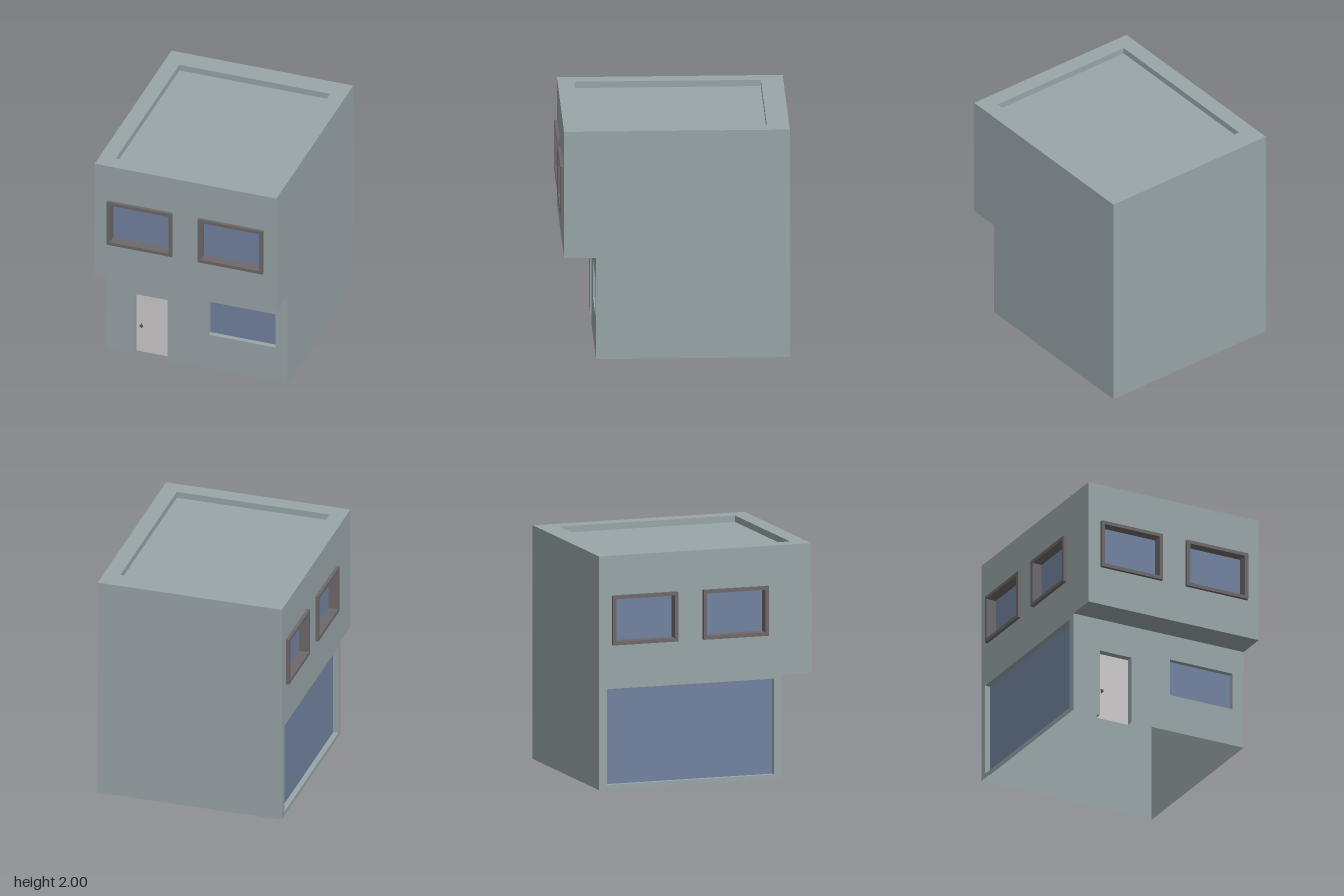
import * as THREE from 'three';

const X0 = -0.805, X1 = 0.825, BACK = -0.965, LOWER = 0.67, UPPER = 0.94, STEP = 0.89, TOP = 2;

const mat = (name, color) => new THREE.MeshStandardMaterial({ name, color, side: THREE.DoubleSide });

// Closed rectangle as a path or shape
function rect(Type, x0, y0, x1, y1) {
  const p = new Type();
  p.moveTo(x0, y0);
  p.lineTo(x1, y0);
  p.lineTo(x1, y1);
  p.lineTo(x0, y1);
  p.closePath();
  return p;
}

export function createModel() {
  const model = new THREE.Group();
  model.name = 'house';
  const wall = mat('wall grey', 0x98a5a8);
  const glass = mat('window blue', 0x71829f);
  const frame = mat('frame grey', 0x6e6869);
  const white = mat('door white', 0xcccacb);
  const metal = mat('handle grey', 0x5c5a5c);

  function add(parent, name, geometry, material, x = 0, y = 0, z = 0) {
    const m = new THREE.Mesh(geometry, material);
    m.name = name;
    m.position.set(x, y, z);
    parent.add(m);
    return m;
  }

  // A facade's local x runs along the wall and local z points outwards
  function facade(name, x, z, turn) {
    const g = new THREE.Group();
    g.name = name;
    g.position.set(x, 0, z);
    g.rotation.y = turn;
    model.add(g);
    return g;
  }

  const sheet = (outline, holes) => {
    outline.holes.push(...holes.map(h => rect(THREE.Path, ...h)));
    return new THREE.ShapeGeometry(outline);
  };

  // Flat panel filling a rectangle
  function panel(parent, name, [x0, y0, x1, y1], z, material) {
    add(parent, name, new THREE.PlaneGeometry(x1 - x0, y1 - y0), material,
      (x0 + x1) / 2, (y0 + y1) / 2, z);
  }

  // Sides of a recess running inwards from an opening
  function reveal(parent, name, [x0, y0, x1, y1], depth, withSill = true) {
    const pts = [[x0, y0], [x0, y1], [x1, y1], [x1, y0]];
    const pos = [];
    for (let i = 0; i < (withSill ? 4 : 3); i++) {
      const [ax, ay] = pts[i], [bx, by] = pts[(i + 1) % 4];
      pos.push(ax, ay, 0, ax, ay, -depth, bx, by, -depth, ax, ay, 0, bx, by, -depth, bx, by, 0);
    }
    const geo = new THREE.BufferGeometry();
    geo.setAttribute('position', new THREE.Float32BufferAttribute(pos, 3));
    geo.computeVertexNormals();
    add(parent, name, geo, wall);
  }

  // Deep window with a projecting frame
  function framedWindow(parent, [x0, y0, x1, y1]) {
    const t = 0.03, depth = 0.065;
    const ring = rect(THREE.Shape, x0, y0, x1, y1);
    const inner = [x0 + t, y0 + t, x1 - t, y1 - t];
    ring.holes.push(rect(THREE.Path, ...inner));
    const geo = new THREE.ExtrudeGeometry(ring, { depth: depth + 0.028, bevelEnabled: false });
    add(parent, 'windowFrame', geo, frame, 0, 0, -depth);
    panel(parent, 'upperWindowGlass', inner, 0.004 - depth, glass);
  }

  // Upper front with two framed windows
  const upperFront = facade('upperFront', 0, UPPER, 0);
  const frontWindows = [[-0.69, 1.235, -0.105, 1.66], [0.125, 1.235, 0.71, 1.66]];
  add(upperFront, 'upperFrontWall', sheet(rect(THREE.Shape, X0, STEP, X1, TOP), frontWindows), wall);
  frontWindows.forEach(w => framedWindow(upperFront, w));

  // Lower front with door and plain window
  const lowerFront = facade('lowerFront', 0, LOWER, 0);
  const door = [-0.55, 0, -0.25, 0.6], shopWindow = [0.12, 0.335, 0.72, 0.665];
  const outline = new THREE.Shape([
    [X0, 0], [door[0], 0], [door[0], door[3]], [door[2], door[3]], [door[2], 0],
    [X1, 0], [X1, STEP], [X0, STEP],
  ].map(p => new THREE.Vector2(...p)));
  add(lowerFront, 'lowerFrontWall', sheet(outline, [shopWindow]), wall);
  reveal(lowerFront, 'doorReveal', door, 0.06, false);
  panel(lowerFront, 'door', door, -0.06, white);
  reveal(lowerFront, 'lowerWindowReveal', shopWindow, 0.045);
  panel(lowerFront, 'lowerWindowGlass', shopWindow, -0.045, glass);

  // Door handles on both faces
  for (const s of [1, -1]) {
    add(lowerFront, 'handlePlate', new THREE.BoxGeometry(0.01, 0.038, 0.006), metal, -0.503, 0.257, -0.06 + s * 0.003);
    add(lowerFront, 'handleKnob', new THREE.BoxGeometry(0.024, 0.018, 0.012), metal, -0.503, 0.259, -0.06 + s * 0.012);
  }

  // Side walls share a stepped outline
  const sideOutline = () => new THREE.Shape([
    [BACK, 0], [LOWER, 0], [LOWER, STEP], [UPPER, STEP], [UPPER, TOP], [BACK, TOP],
  ].map(p => new THREE.Vector2(...p)));
  const plainSide = facade('plainSide', X1, 0, -Math.PI / 2);
  add(plainSide, 'plainSideWall', sheet(sideOutline(), []), wall);

  const windowSide = facade('windowSide', X0, 0, -Math.PI / 2);
  const sideWindows = [[-0.85, 1.235, -0.265, 1.66], [-0.035, 1.235, 0.55, 1.66]];
  const bigWindow = [-0.895, 0.04, 0.605, 0.86];
  add(windowSide, 'windowSideWall', sheet(sideOutline(), [...sideWindows, bigWindow]), wall);
  sideWindows.forEach(w => framedWindow(windowSide, w));
  reveal(windowSide, 'bigWindowReveal', bigWindow, 0.045);
  panel(windowSide, 'bigWindowGlass', bigWindow, -0.045, glass);

  // Back wall
  const back = facade('back', 0, BACK, Math.PI);
  panel(back, 'backWall', [-X1, 0, -X0, TOP], 0, wall);

  // Horizontal surfaces: local y is world -z, local z is up
  function level(name, y) {
    const g = new THREE.Group();
    g.name = name;
    g.position.y = y;
    g.rotation.x = -Math.PI / 2;
    model.add(g);
    return g;
  }
  panel(level('overhang', STEP), 'overhangFloor', [X0, -UPPER, X1, -LOWER], 0, wall);

  // Roof sunk behind a broad parapet
  const roof = level('roof', TOP);
  const well = [-0.665, -0.8, 0.685, 0.775], sunk = 0.055;
  add(roof, 'parapetTop', sheet(rect(THREE.Shape, X0, -UPPER, X1, -BACK), [well]), wall);
  reveal(roof, 'parapetInside', well, sunk);
  panel(roof, 'roofDeck', well, -sunk, wall);

  return model;
}
